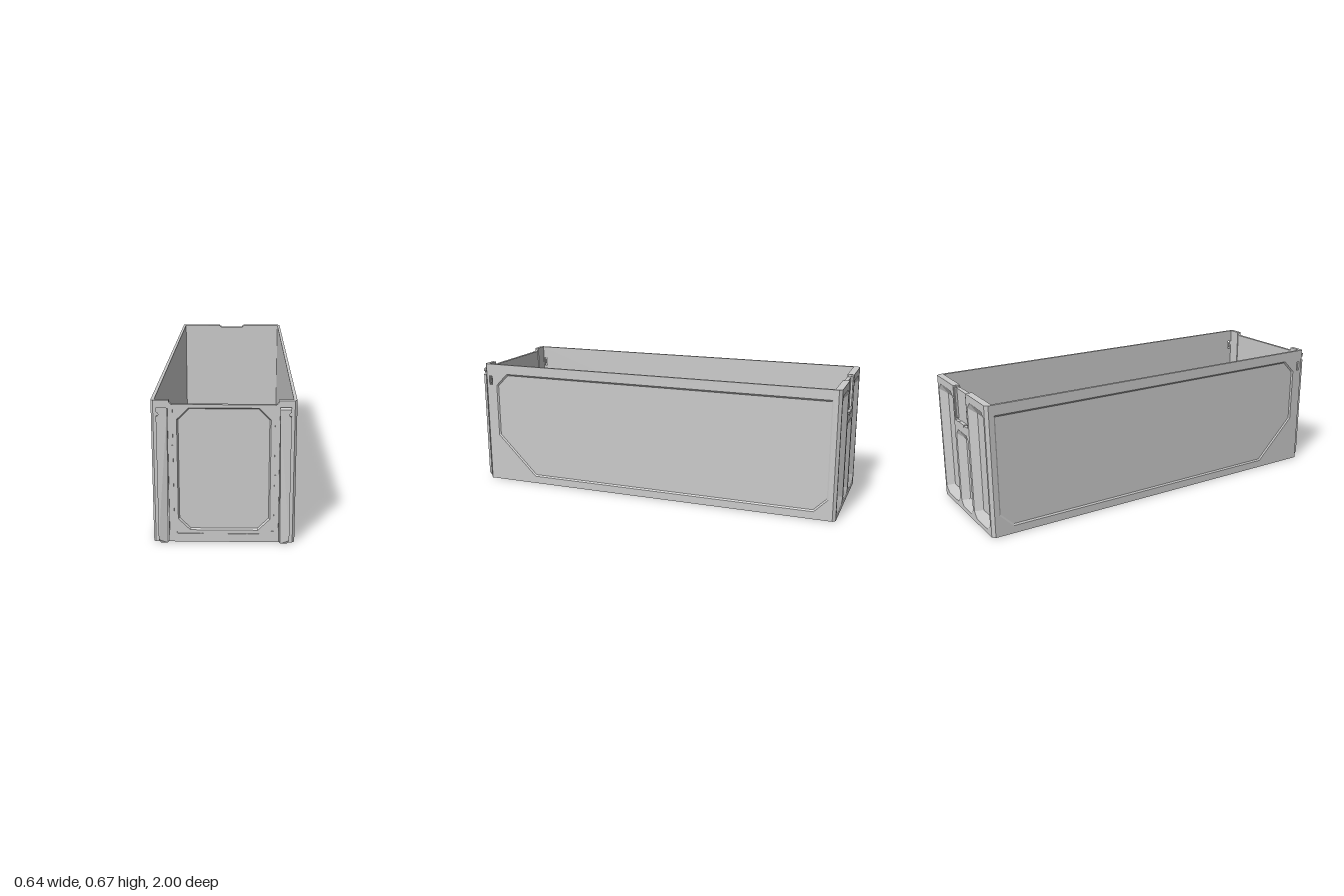
import * as THREE from 'three';

const mat = new THREE.MeshStandardMaterial({ color: 0xcccccc, flatShading: true });

function add(parent, name, geo) {
  const m = new THREE.Mesh(geo, mat);
  m.name = name;
  parent.add(m);
  return m;
}

// box given by its min and max corners
function block(parent, name, x0, x1, y0, y1, z0, z1) {
  const m = add(parent, name, new THREE.BoxGeometry(x1 - x0, y1 - y0, z1 - z0));
  m.position.set((x0 + x1) / 2, (y0 + y1) / 2, (z0 + z1) / 2);
  return m;
}

const toVec = pts => pts.map(p => new THREE.Vector2(p[0], p[1]));
const rect = (x0, x1, y0, y1) => [[x0, y0], [x1, y0], [x1, y1], [x0, y1]];

// rectangle with corner cuts, starting at the bottom left: bl, br, tr, tl
function cutRect(x0, x1, y0, y1, [bl, br, tr, tl]) {
  return [[x0, y0 + bl], [x0 + bl, y0], [x1 - br, y0], [x1, y0 + br],
    [x1, y1 - tr], [x1 - tr, y1], [x0 + tl, y1], [x0, y1 - tl]];
}

function plate(outline, holes, depth) {
  const s = new THREE.Shape(toVec(outline));
  holes.forEach(h => s.holes.push(new THREE.Path(toVec(h))));
  return new THREE.ExtrudeGeometry(s, { depth, bevelEnabled: false });
}

// move every edge of a counter-clockwise convex polygon inward by t
function inset(pts, t) {
  const n = pts.length;
  return pts.map((p, i) => {
    const d1 = p.clone().sub(pts[(i + n - 1) % n]).normalize();
    const d2 = pts[(i + 1) % n].clone().sub(p).normalize();
    const n1 = new THREE.Vector2(-d1.y, d1.x), n2 = new THREE.Vector2(-d2.y, d2.x);
    return n1.clone().add(n2).multiplyScalar(t / (1 + n1.dot(n2))).add(p);
  });
}

// sloping border leading from the wall face down into a recess
function slope(outline, taper, depth) {
  const o = toVec(outline), q = inset(o, taper), v = [];
  o.forEach((A, i) => {
    const j = (i + 1) % o.length, B = o[j], a = q[i], b = q[j];
    v.push(A.x, A.y, 0, B.x, B.y, 0, b.x, b.y, -depth);
    v.push(A.x, A.y, 0, b.x, b.y, -depth, a.x, a.y, -depth);
  });
  const g = new THREE.BufferGeometry();
  g.setAttribute('position', new THREE.Float32BufferAttribute(v, 3));
  g.computeVertexNormals();
  return g;
}

// wall in its own plane: outer face at z = 0, recessed skin over a backing plate
function wall(parent, name, outline, backing, recesses, slots, depth, taper, thick) {
  const g = new THREE.Group();
  g.name = name;
  add(g, name + 'Skin', plate(outline, [...recesses, ...slots], depth)).position.z = -depth;
  add(g, name + 'Backing', plate(backing, slots, thick)).position.z = -depth - thick;
  recesses.forEach(r => add(g, name + 'RecessBorder', slope(r, taper, depth)));
  parent.add(g);
  return g;
}

export function createModel() {
  const root = new THREE.Group();
  root.name = 'openContainer';
  const H = 0.667;

  block(root, 'floor', -0.312, 0.312, 0, 0.015, -0.985, 0.965);

  for (const s of [1, -1]) {
    // long side wall; local x runs along -z on the left side and +z on the other
    const side = rect(...(s > 0 ? [-0.953, 0.965] : [-0.965, 0.953]), 0, H);
    const panel = s > 0
      ? cutRect(-0.905, 0.96, 0.04, 0.615, [0.222, 0.07, 0.002, 0.067])
      : cutRect(-0.96, 0.905, 0.04, 0.615, [0.07, 0.222, 0.067, 0.002]);
    const slot = s > 0 ? rect(-0.95, -0.932, 0.55, 0.6) : rect(0.932, 0.95, 0.55, 0.6);
    const w = wall(root, 'sideWall', side, side, [panel], [slot], 0.006, 0.008, 0.009);
    w.rotation.y = s * Math.PI / 2;
    w.position.x = s * 0.32;
    block(root, 'slotBar', s * 0.312 - 0.004, s * 0.312 + 0.004, 0.56, 0.59, 0.938, 0.944);

    // chamfered corner posts, footprint drawn as (x, -z)
    const posts = {
      frontPost: [[0.24, -0.953], [0.24, -0.975], [0.31, -0.975], [0.32, -0.965], [0.32, -0.953]],
      backPost: [[0.305, 0.965], [0.32, 0.965], [0.32, 0.985], [0.305, 1]],
    };
    for (const [name, foot] of Object.entries(posts)) {
      const m = add(root, name, plate(foot.map(p => [s * p[0], p[1]]), [], H));
      m.rotation.x = -Math.PI / 2;
    }

    // front rail: narrow stem under a wide flange with a round nick
    const rail = new THREE.Shape();
    rail.moveTo(-0.025, 0.02);
    rail.lineTo(-0.015, 0);
    rail.lineTo(0.015, 0);
    rail.lineTo(0.025, 0.02);
    rail.lineTo(0.025, 0.6);
    rail.absarc(0.025, 0.61, 0.01, -Math.PI / 2, Math.PI / 2, true);
    rail.lineTo(0.025, 0.64);
    rail.lineTo(-0.025, 0.64);
    rail.closePath();
    const railGeo = new THREE.ExtrudeGeometry(rail, { depth: 0.013, bevelEnabled: false, curveSegments: 8 });
    // slant the lower and upper ends of the flange back toward the wall
    const p = railGeo.attributes.position;
    for (let i = 0; i < p.count; i++) {
      if (p.getZ(i) < 0.01) continue;
      if (p.getY(i) < 0.001) p.setZ(i, 0.003);
      if (p.getY(i) > 0.639) p.setY(i, 0.633);
    }
    railGeo.computeVertexNormals();
    if (s < 0) railGeo.rotateY(Math.PI).translate(0, 0, 0.013);
    const flange = add(root, 'railFlange', railGeo);
    flange.position.set(s * 0.27, 0, 0.987);
    if (s < 0) {
      // keep the slanted face outward on the mirrored rail
      const q = railGeo.attributes.position;
      for (let i = 0; i < q.count; i++) {
        const y = q.getY(i);
        const outer = q.getZ(i) > 0.0065 || (y < 0.001 && q.getZ(i) > 0.005);
        q.setZ(i, outer ? (y < 0.001 ? 0.003 : 0.013) : 0);
      }
      railGeo.computeVertexNormals();
    }
    block(root, 'railStem', s * 0.27 - 0.014, s * 0.27 + 0.014, 0.01, 0.635, 0.974, 0.988);

    // split trim strips beside and below the front panel
    [[0.055, 0.188], [0.192, 0.325], [0.329, 0.462], [0.466, 0.648]].forEach(([a, b]) =>
      block(root, 'frontTrim', s * 0.2275 - 0.003, s * 0.2275 + 0.003, a, b, 0.974, 0.978));
    [[0.002, 0.103], [0.107, 0.21]].forEach(([a, b]) =>
      block(root, 'frontTrim', Math.min(s * a, s * b), Math.max(s * a, s * b), 0.036, 0.041, 0.974, 0.978));
    const gusset = [[0.231, 0.036], [0.231, 0.054], [0.213, 0.054], [0.213, 0.036]];
    add(root, 'frontTrimCorner', plate(gusset.map(c => [s * c[0], c[1]]), [], 0.002)).position.z = 0.974;
  }

  // front wall, its top edge set lower than the posts
  const door = [[-0.24, 0], [0.24, 0], [0.24, 0.657], [0.23, 0.648], [-0.23, 0.648], [-0.24, 0.657]];
  const doorPanel = cutRect(-0.207, 0.207, 0.058, 0.633, [0.054, 0.054, 0.053, 0.053]);
  wall(root, 'frontWall', door, door, [doorPanel], [], 0.009, 0.006, 0.008).position.z = 0.975;

  // back wall with three deep pockets and a notch for the latch
  const back = [[-0.305, 0], [0.305, 0], [0.305, H], [0.08, H], [0.08, 0.49],
    [-0.08, 0.49], [-0.08, H], [-0.305, H]];
  const backPlate = [[-0.305, 0], [0.305, 0], [0.305, H], [0.08, H], [0.07, 0.655],
    [-0.07, 0.655], [-0.08, H], [-0.305, H]];
  const pockets = [
    cutRect(-0.292, -0.096, 0.025, 0.63, [0.03, 0.03, 0.03, 0.03]),
    cutRect(-0.076, 0.076, 0.025, 0.445, [0.025, 0.025, 0.025, 0.025]),
    cutRect(0.096, 0.292, 0.025, 0.63, [0.03, 0.03, 0.03, 0.03]),
  ];
  const bw = wall(root, 'backWall', back, backPlate, pockets, [], 0.03, 0.05, 0.005);
  bw.rotation.y = Math.PI;
  bw.position.z = -1;

  // latch plate in the notch, with guides and a lower catch
  block(root, 'latchPlate', -0.08, 0.08, 0.49, 0.655, -0.985, -0.968);
  for (const s of [1, -1])
    block(root, 'latchGuide', s * 0.074 - 0.006, s * 0.074 + 0.006, 0.5, 0.66, -0.996, -0.984);
  block(root, 'latchCatch', -0.035, 0.035, 0.478, 0.494, -1.002, -0.98);
  return root;
}
